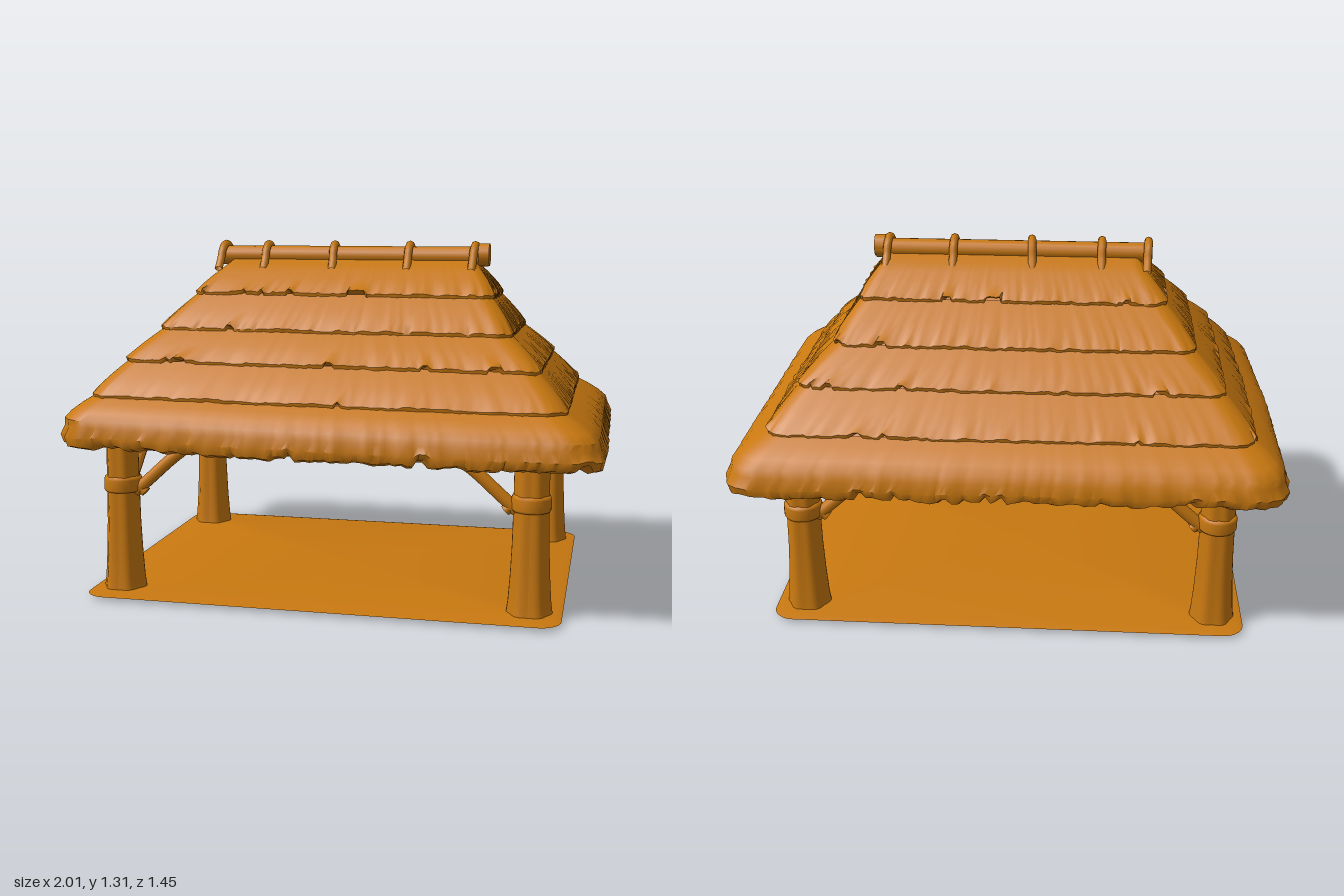
import * as THREE from 'three';
import { toCreasedNormals } from 'three/addons/utils/BufferGeometryUtils.js';

// small seeded random generator for the ragged straw
let seed = 7;
const rnd = () => (seed = (seed * 16807) % 2147483647) / 2147483647;

// points around a rounded rectangle, with matching counts for every size
const NX = 90, NZ = 64, NC = 9;
function outline([x0, x1, z0, z1, r], inset) {
  x0 += inset; x1 -= inset; z0 += inset; z1 -= inset;
  r = Math.max(0, Math.min(r, (x1 - x0) / 2, (z1 - z0) / 2));
  const centres = [[x1 - r, z1 - r], [x0 + r, z1 - r], [x0 + r, z0 + r], [x1 - r, z0 + r]];
  const at = (c, a) => [centres[c][0] + r * Math.cos(a), centres[c][1] + r * Math.sin(a)];
  const pts = [];
  for (let c = 0; c < 4; c++) {
    const a0 = c * Math.PI / 2, a1 = a0 + Math.PI / 2;
    for (let i = 0; i <= NC; i++) pts.push(at(c, a0 + (a1 - a0) * i / NC));
    const p = at(c, a1), q = at((c + 1) % 4, a1), n = c % 2 ? NZ : NX;
    for (let i = 1; i < n; i++) pts.push([p[0] + (q[0] - p[0]) * i / n, p[1] + (q[1] - p[1]) * i / n]);
  }
  return pts;
}

// the old roof has settled: a slight tilt, and one front corner drawn in
function settle(x, y, z) {
  const s = THREE.MathUtils.clamp((1.2 - y) / 0.62, 0, 1);
  const pull = s * Math.max(0, -x) * Math.max(0, z) / 0.7;
  return [x + 0.04 * pull, y + s * (0.016 * z - 0.008 * x), z - 0.035 * pull];
}

// skin through rows of outlines; each row is { rect, y, inset, rag, strand }
function loft(rows, crease = 0.7, warp = (...p) => p) {
  const n = outline(rows[0].rect, 0).length, pos = [], index = [];
  const rag = [], strand = [];
  for (let k = 0, hold = 0, v = 0; k < n; k++) {
    if (--hold < 0) { hold = Math.floor(rnd() * 3); v = rnd() < 0.07 ? 1.6 : rnd() - 0.5; }
    rag.push(v + (rnd() - 0.5) * 0.4);
    strand.push(rnd() - 0.5);
  }
  rows.forEach(({ rect, y, inset = 0, rag: g = 0, strand: s = 0 }) => {
    const a = outline(rect, inset), b = outline(rect, inset + 0.01);
    a.forEach(([x, z], k) => {
      const f = s * strand[k] * 100;
      pos.push(...warp(x + (b[k][0] - x) * f, y + g * rag[k], z + (b[k][1] - z) * f));
    });
  });
  for (let j = 0; j < rows.length - 1; j++) {
    for (let k = 0; k < n; k++) {
      const a = j * n + k, c = j * n + (k + 1) % n;
      index.push(a, a + n, c, c, a + n, c + n);
    }
  }
  const geo = new THREE.BufferGeometry();
  geo.setAttribute('position', new THREE.Float32BufferAttribute(pos, 3));
  geo.setIndex(index);
  return toCreasedNormals(geo, crease);
}

export function createModel() {
  seed = 7;
  const model = new THREE.Group();
  model.name = 'thatchedShelter';
  const straw = new THREE.MeshStandardMaterial({ color: 0xc87810, side: THREE.DoubleSide });
  straw.name = 'ochre straw and wood';
  const add = (name, geo, parent = model) => {
    const mesh = new THREE.Mesh(geo, straw);
    mesh.name = name;
    parent.add(mesh);
    return mesh;
  };

  // thin ground slab with rounded corners
  const slab = [-0.88, 0.865, -0.665, 0.65, 0.08], mid = [-0.01, -0.01, 0, 0, 0];
  add('floor', loft([
    { rect: mid, y: 0 }, { rect: slab, y: 0.002, inset: 0.05 }, { rect: slab, y: 0.014 },
    { rect: slab, y: 0.02, inset: 0.025 }, { rect: mid, y: 0.018 },
  ]));

  // thatch courses: [x0, x1, z0, z1, corner radius] and lip height
  const rings = [
    [[-1, 1, -0.72, 0.72, 0.13], 0.56],
    [[-0.89, 0.87, -0.59, 0.61, 0.08], 0.73],
    [[-0.785, 0.77, -0.45, 0.485, 0.06], 0.855],
    [[-0.68, 0.66, -0.325, 0.365, 0.06], 0.97],
    [[-0.575, 0.58, -0.18, 0.245, 0.05], 1.1],
    [[-0.49, 0.515, -0.065, 0.125, 0.03], 1.205],
  ];
  const mix = (a, b, t) => a.map((v, i) => v + (b[i] - v) * t);
  const crest = [-0.45, 0.48, 0.03, 0.04, 0];
  const roof = new THREE.Group();
  roof.name = 'roof';
  model.add(roof);
  for (let i = 0; i < 5; i++) {
    const [lo, y0] = rings[i], [hi, y1] = rings[i + 1];
    const eave = i === 0, rag = eave ? 0.015 : 0.016;
    const rows = eave
      ? [{ rect: lo, y: 0.575, inset: 0.06 }, { rect: lo, y: 0.555, inset: 0.03, rag },
        { rect: lo, y: 0.565, inset: 0.008, rag, strand: 0.01 }, { rect: lo, y: 0.595, inset: 0, rag: 0.006, strand: 0.01 },
        { rect: lo, y: 0.63, inset: 0.015, strand: 0.006 }]
      : [{ rect: lo, y: y0 + 0.008, inset: 0.05 }, { rect: lo, y: y0 - 0.003, inset: 0.006, rag, strand: 0.005 },
        { rect: lo, y: y0 + 0.014, inset: 0.003, rag: rag * 0.5, strand: 0.005 }];
    const start = rows[rows.length - 1];
    for (const t of [0.25, 0.5, 0.75, 1]) {
      rows.push({
        rect: mix(lo, hi, t), y: start.y + (y1 + 0.01 - start.y) * t,
        inset: 0.014 * t - (eave ? 0.018 : 0.004) * Math.sin(t * Math.PI), strand: 0.005 * (1 - t),
      });
    }
    if (i === 4) rows.push({ rect: crest, y: 1.245 });
    add('thatchCourse' + (i + 1), loft(rows, 0.8, settle), roof);
  }

  // underside of the roof, facing inwards
  const lining = rings.map(([rect, y], i) => ({ rect, y: i ? y - 0.01 : 0.575, inset: 0.055 })).reverse();
  lining.unshift({ rect: crest, y: 1.21 });
  add('ceiling', loft(lining, 0.4, settle), roof);

  // ridge log, its end knobs and the straps that hold it down
  const rod = (name, a, b, r, parent = model) => {
    const p = new THREE.Vector3(...a), q = new THREE.Vector3(...b), d = q.clone().sub(p);
    const mesh = add(name, new THREE.CylinderGeometry(r, r, d.length(), 16), parent);
    mesh.position.copy(p).add(q).multiplyScalar(0.5);
    mesh.quaternion.setFromUnitVectors(new THREE.Vector3(0, 1, 0), d.normalize());
    return mesh;
  };
  const ridge = new THREE.Group();
  ridge.name = 'ridge';
  model.add(ridge);
  rod('ridgeLog', [-0.51, 1.247, 0.035], [0.535, 1.247, 0.035], 0.037, ridge);
  rod('ridgeKnob', [0.5, 1.255, 0.04], [0.54, 1.255, 0.04], 0.042, ridge);
  for (const x of [-0.5, -0.325, -0.06, 0.235, 0.485]) {
    const arch = [[0.125, 1.195], [0.096, 1.235], [0.075, 1.273], [0.036, 1.29], [-0.003, 1.273], [-0.024, 1.235], [-0.055, 1.195]];
    const lean = rnd() * 0.016 - 0.008;
    const curve = new THREE.CatmullRomCurve3(arch.map(([z, y], i) => new THREE.Vector3(x + lean * (i - 3) / 3, y, z)));
    add('ridgeStrap', new THREE.TubeGeometry(curve, 24, 0.016, 8), ridge);
  }

  // four flared posts with a collar and two braces each
  const profile = (pts) => pts.map(([r, y]) => new THREE.Vector2(r, y));
  const xs = [-0.768, 0.748], zs = [-0.53, 0.497];
  for (const px of xs) for (const pz of zs) {
    const post = new THREE.Group();
    post.name = 'post';
    post.position.set(px, 0, pz);
    model.add(post);
    const trunk = new THREE.LatheGeometry(profile([[0.079, 0.012], [0.073, 0.06], [0.067, 0.15], [0.062, 0.27], [0.06, 0.4], [0.058, 0.64]]), 40);
    const p = trunk.attributes.position;
    for (let i = 0; i < p.count; i++) {
      // shallow grooves along the grain
      const s = 1 + 0.05 * Math.cos(6 * Math.atan2(p.getZ(i), p.getX(i)));
      p.setXYZ(i, p.getX(i) * s, p.getY(i), p.getZ(i) * s);
    }
    trunk.computeVertexNormals();
    add('trunk', trunk, post);
    add('collar', new THREE.LatheGeometry(profile([[0.05, 0.385], [0.066, 0.387], [0.07, 0.395], [0.07, 0.432], [0.066, 0.442], [0.05, 0.446]]), 24), post);
    const sx = -Math.sign(px), sz = -Math.sign(pz);
    for (const [dx, dz] of [[sx, 0], [0, sz]]) {
      const at = (d, y) => new THREE.Vector3(dx * d, y, dz * d);
      const curve = new THREE.CatmullRomCurve3([at(0.05, 0.385), at(0.11, 0.438), at(0.19, 0.51), at(0.28, 0.58)]);
      add('brace', new THREE.TubeGeometry(curve, 12, 0.023, 10), post);
      rod('bracePeg', [dx * 0.058, 0.412, dz * 0.058], [dx * 0.09, 0.382, dz * 0.09], 0.02, post);
    }
  }

  // beams joining the post tops
  for (const z of zs) rod('longBeam', [xs[0], 0.572, z], [xs[1], 0.572, z], 0.032);
  for (const x of xs) rod('crossBeam', [x, 0.585, zs[0]], [x, 0.585, zs[1]], 0.032);
  return model;
}
